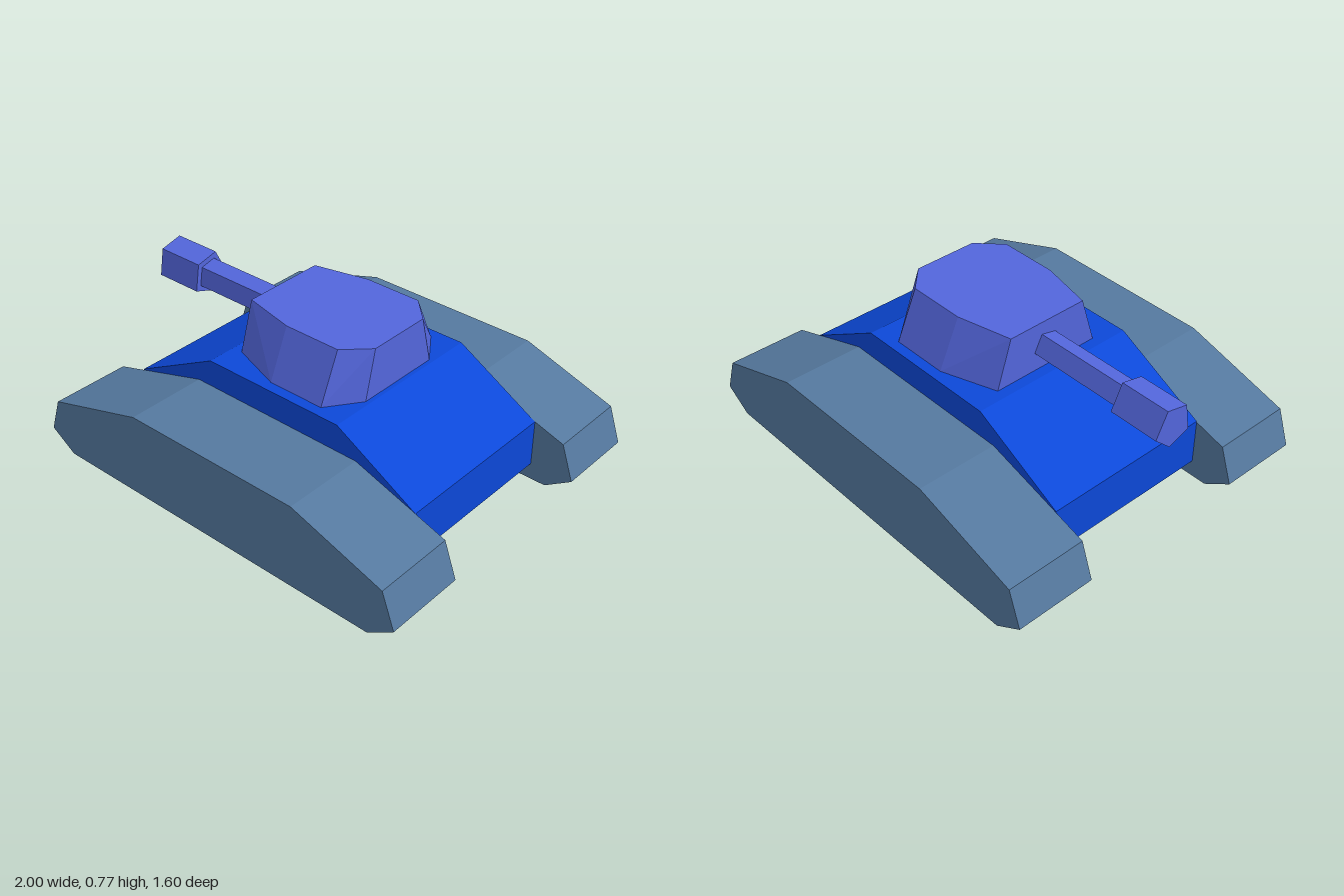
import * as THREE from 'three';
import { ConvexGeometry } from 'three/addons/geometries/ConvexGeometry.js';

const paint = (color) => new THREE.MeshStandardMaterial({ color, flatShading: true });

// Straight prism along +z from a 2D outline
function prism(points, depth) {
  const shape = new THREE.Shape(points.map(([x, y]) => new THREE.Vector2(x, y)));
  return new THREE.ExtrudeGeometry(shape, { depth, bevelEnabled: false });
}

export function createModel() {
  const model = new THREE.Group();
  const trackPaint = paint(0x55799f);
  const hullPaint = paint(0x0c48d8);
  const turretPaint = paint(0x5366dc);

  const add = (name, geometry, material) => {
    const mesh = new THREE.Mesh(geometry, material);
    mesh.name = name;
    model.add(mesh);
    return mesh;
  };

  // Tracks, one on each side of the hull
  const trackOutline = [
    [-0.87, 0], [0.87, 0], [1, 0.085], [0.94, 0.255],
    [0.48, 0.41], [-0.42, 0.41], [-0.94, 0.255], [-1, 0.085],
  ];
  for (const [name, z] of [['frontTrack', 0.415], ['backTrack', -0.8]]) {
    add(name, prism(trackOutline, 0.385), trackPaint).position.z = z;
  }

  // Hull with sloped ends
  const hullOutline = [
    [-0.79, 0.08], [0.79, 0.08], [0.79, 0.305],
    [0.38, 0.54], [-0.34, 0.54], [-0.79, 0.305],
  ];
  add('hull', prism(hullOutline, 0.83), hullPaint).position.z = -0.415;

  // Turret: x, half width at the base, half width at the roof
  const turretPoints = [];
  for (const [x, base, roof] of [
    [-0.29, 0.275, 0.203], [-0.03, 0.365, 0.262], [0.25, 0.365, 0.262], [0.36, 0.212, 0.155],
  ]) {
    for (const side of [-1, 1]) {
      turretPoints.push(new THREE.Vector3(x, 0.54, side * base));
      turretPoints.push(new THREE.Vector3(x, 0.77, side * roof));
    }
  }
  add('turret', new ConvexGeometry(turretPoints), turretPaint);

  // Five-sided gun pieces, outline in z and y, running towards -x
  const gunOutline = [
    [0.067, 0.067], [-0.043, 0.093], [-0.1, -0.022], [-0.016, -0.099], [0.089, -0.062],
  ];
  const gunPiece = (name, startX, length, scale) => {
    const outline = gunOutline.map(([z, y]) => [z * scale, y * scale]);
    const geometry = prism(outline, length).rotateY(-Math.PI / 2);
    add(name, geometry, turretPaint).position.set(startX, 0.645, 0);
  };
  gunPiece('barrel', -0.27, 0.51, 0.69);
  gunPiece('muzzle', -0.76, 0.24, 1);

  return model;
}
